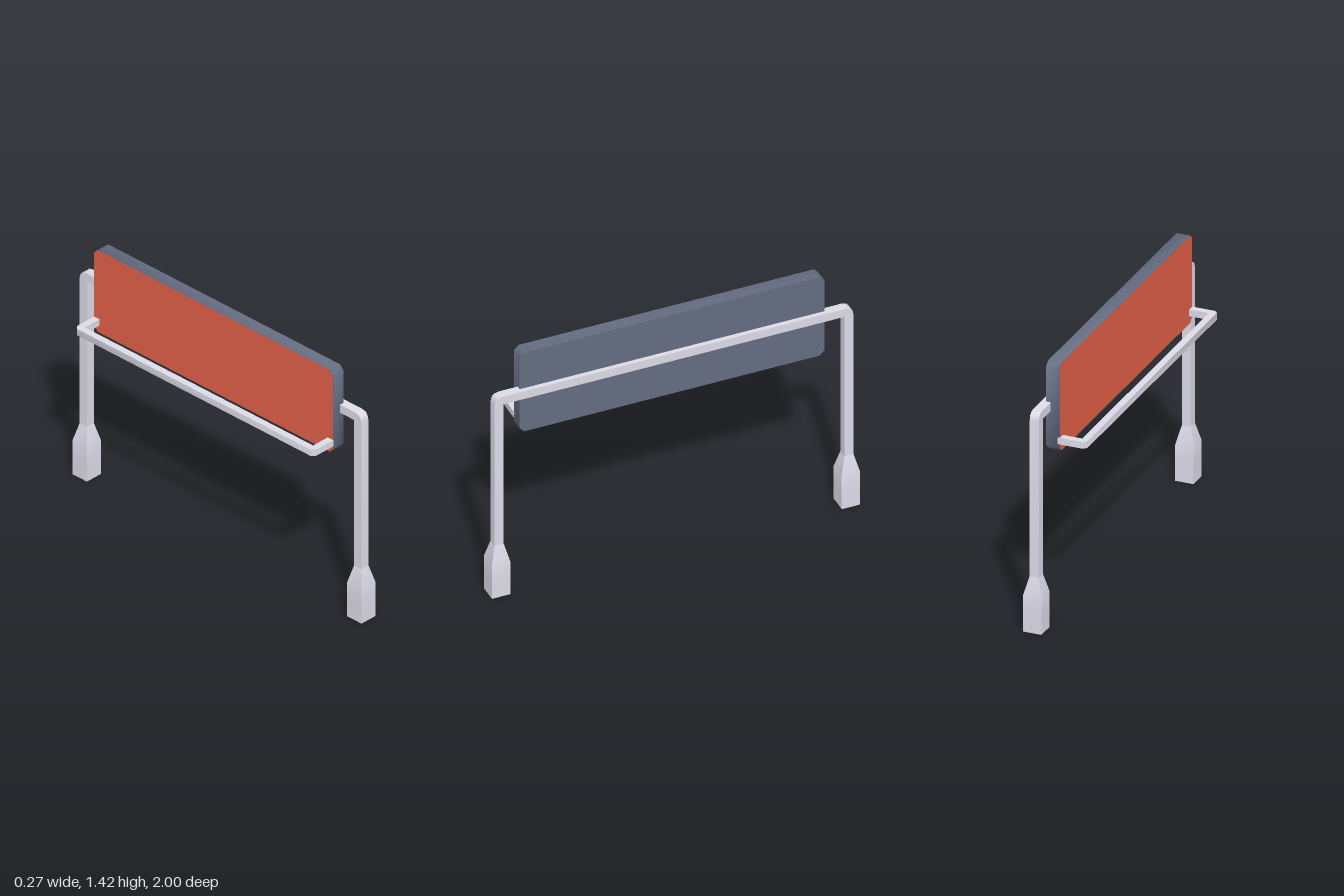
import * as THREE from 'three';
import { toCreasedNormals } from 'three/addons/utils/BufferGeometryUtils.js';

const steel = new THREE.MeshStandardMaterial({ color: 0xdcdae6 });
steel.name = 'light grey steel';
const casing = new THREE.MeshStandardMaterial({ color: 0x646c81 });
casing.name = 'slate blue casing';
const facing = new THREE.MeshStandardMaterial({ color: 0xe46049 });
facing.name = 'brick red facing';

const toVectors = (points) => points.map(([u, v]) => new THREE.Vector2(u, v));

// Closed outline from half a profile, mirrored across the vertical axis
function mirroredShape(half) {
  const other = half.map(([u, v]) => [-u, v]).reverse();
  return new THREE.Shape(toVectors([...half, ...other]));
}

function extrude(shape, depth) {
  return new THREE.ExtrudeGeometry(shape, { depth, bevelEnabled: false });
}

// Shallow angles are shaded smoothly, square edges stay sharp
function soften(geometry) {
  return toCreasedNormals(geometry, Math.PI / 3.5);
}

function addMesh(parent, name, geometry, material) {
  const mesh = new THREE.Mesh(geometry, material);
  mesh.name = name;
  parent.add(mesh);
  return mesh;
}

// Square foot whose top third narrows to half its width
function footGeometry() {
  const geometry = new THREE.BoxGeometry(0.1, 0.3, 0.1, 1, 3, 1).translate(0, 0.15, 0);
  const p = geometry.attributes.position;
  for (let i = 0; i < p.count; i++) {
    if (p.getY(i) > 0.25) p.setXYZ(i, p.getX(i) * 0.5, p.getY(i), p.getZ(i) * 0.5);
  }
  return soften(geometry);
}

export function createModel() {
  const model = new THREE.Group();
  model.name = 'signGantry';

  // Arch: two posts and a crossbeam with rounded outer corners
  const archShape = mirroredShape([
    [0.925, 1.154], [0.925, 0.28], [0.975, 0.28], [0.975, 1.155],
    [0.969, 1.181], [0.956, 1.195], [0.93, 1.201],
  ]);
  const arch = addMesh(model, 'supportArch',
    soften(extrude(archShape, 0.05).rotateY(Math.PI / 2)), steel);
  arch.position.x = 0.056;

  // Feet with tapered collars
  for (const side of [-1, 1]) {
    const foot = addMesh(model, side > 0 ? 'frontFoot' : 'backFoot', footGeometry(), steel);
    foot.position.set(0.081, 0, side * 0.95);
  }

  // Sign panel with clipped corners and a coloured face
  const panelShape = mirroredShape([
    [0.802, 0.936], [0.827, 0.961], [0.827, 1.392], [0.802, 1.417],
  ]);
  const panel = addMesh(model, 'signPanel',
    soften(extrude(panelShape, 0.073).rotateY(Math.PI / 2)), casing);
  panel.position.x = 0.008;
  const face = addMesh(model, 'signFace',
    new THREE.ShapeGeometry(panelShape).rotateY(-Math.PI / 2), facing);
  face.position.x = 0.007;

  // Lamp rail standing out from the sign face
  const railShape = new THREE.Shape(toVectors([
    [0.02, -0.827], [0.02, -0.79], [-0.098, -0.79], [-0.098, 0.79], [0.02, 0.79],
    [0.02, 0.827], [-0.117, 0.827], [-0.135, 0.809], [-0.135, -0.809], [-0.117, -0.827],
  ]));
  const rail = addMesh(model, 'lampRail',
    soften(extrude(railShape, 0.037).rotateX(-Math.PI / 2)), steel);
  rail.position.y = 0.978;

  return model;
}
